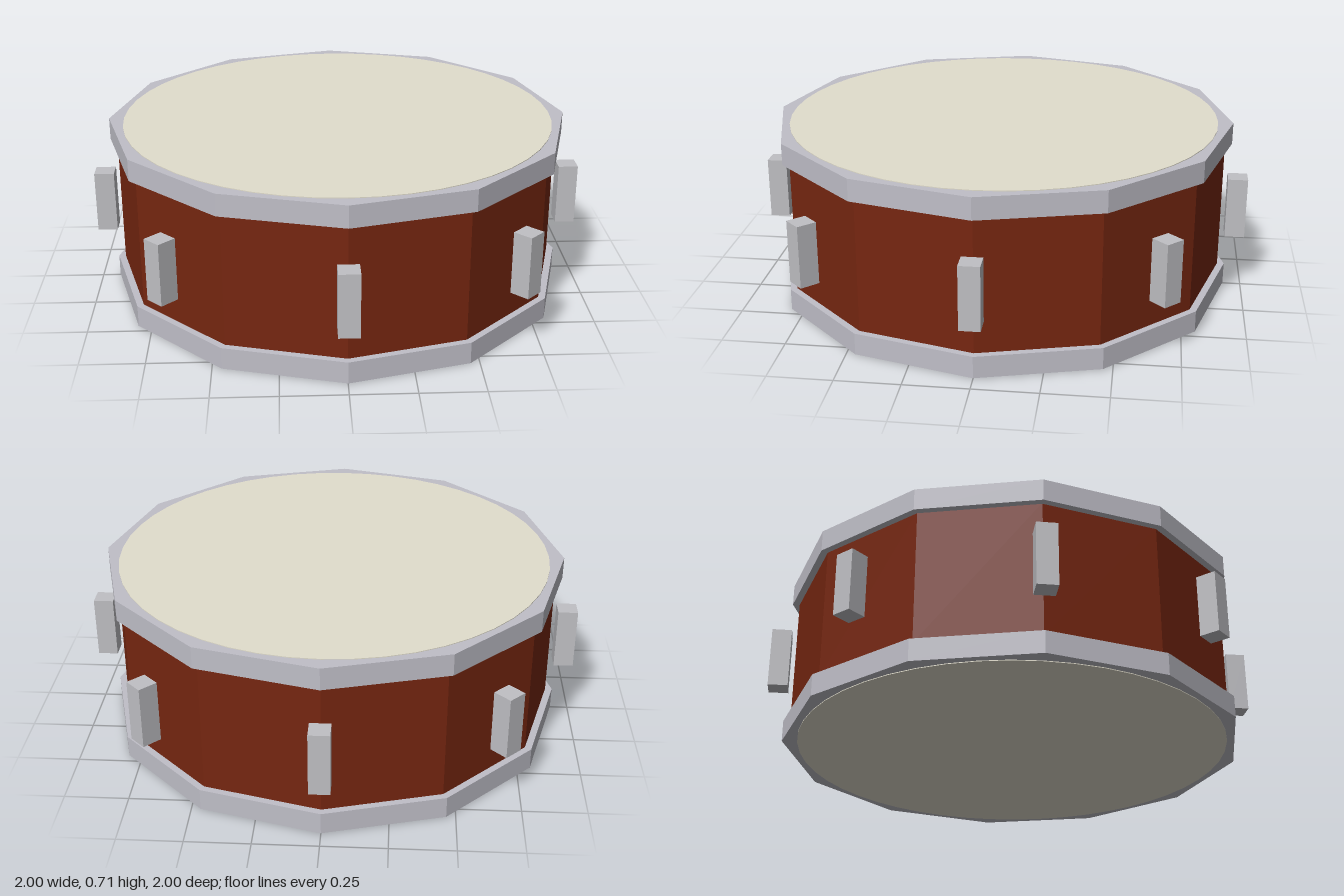
import * as THREE from 'three';

const material = (name, color, flatShading = true) => {
  const m = new THREE.MeshStandardMaterial({ color, flatShading });
  m.name = name;
  return m;
};

export function createModel() {
  const wood = material('red wood', 0x762610);
  const metal = material('hoop metal', 0xc0bfc8);
  const lugMetal = material('lug metal', 0xc0c0c4);
  const skin = material('drum skin', 0xe2decd);

  const drum = new THREE.Group();
  drum.name = 'drum';
  const add = (name, geometry, mat, x, y, z) => {
    const mesh = new THREE.Mesh(geometry, mat);
    mesh.name = name;
    mesh.position.set(x, y, z);
    drum.add(mesh);
    return mesh;
  };
  const midY = 0.355;

  // Twelve-sided shell between the hoops
  add('shell', new THREE.CylinderGeometry(0.9, 0.9, 0.54, 12, 1, true), wood, 0, midY, 0);

  // Hoops with a round skin just proud of each outer face
  const hoop = new THREE.CylinderGeometry(0.928, 0.928, 0.087, 12);
  const head = new THREE.CylinderGeometry(0.867, 0.867, 0.006, 48);
  for (const [label, side] of [['top', 1], ['bottom', -1]]) {
    add(label + 'Hoop', hoop, metal, 0, midY + side * 0.3085, 0);
    add(label + 'Head', head, skin, 0, midY + side * 0.352, 0);
  }

  // Eight tension lugs around the shell
  const lug = new THREE.BoxGeometry(0.08, 0.25, 0.08);
  for (let i = 0; i < 8; i++) {
    const a = (i * Math.PI) / 4;
    add('lug' + (i + 1), lug, lugMetal, Math.sin(a) * 0.96, midY, Math.cos(a) * 0.96).rotation.y = a;
  }
  return drum;
}
